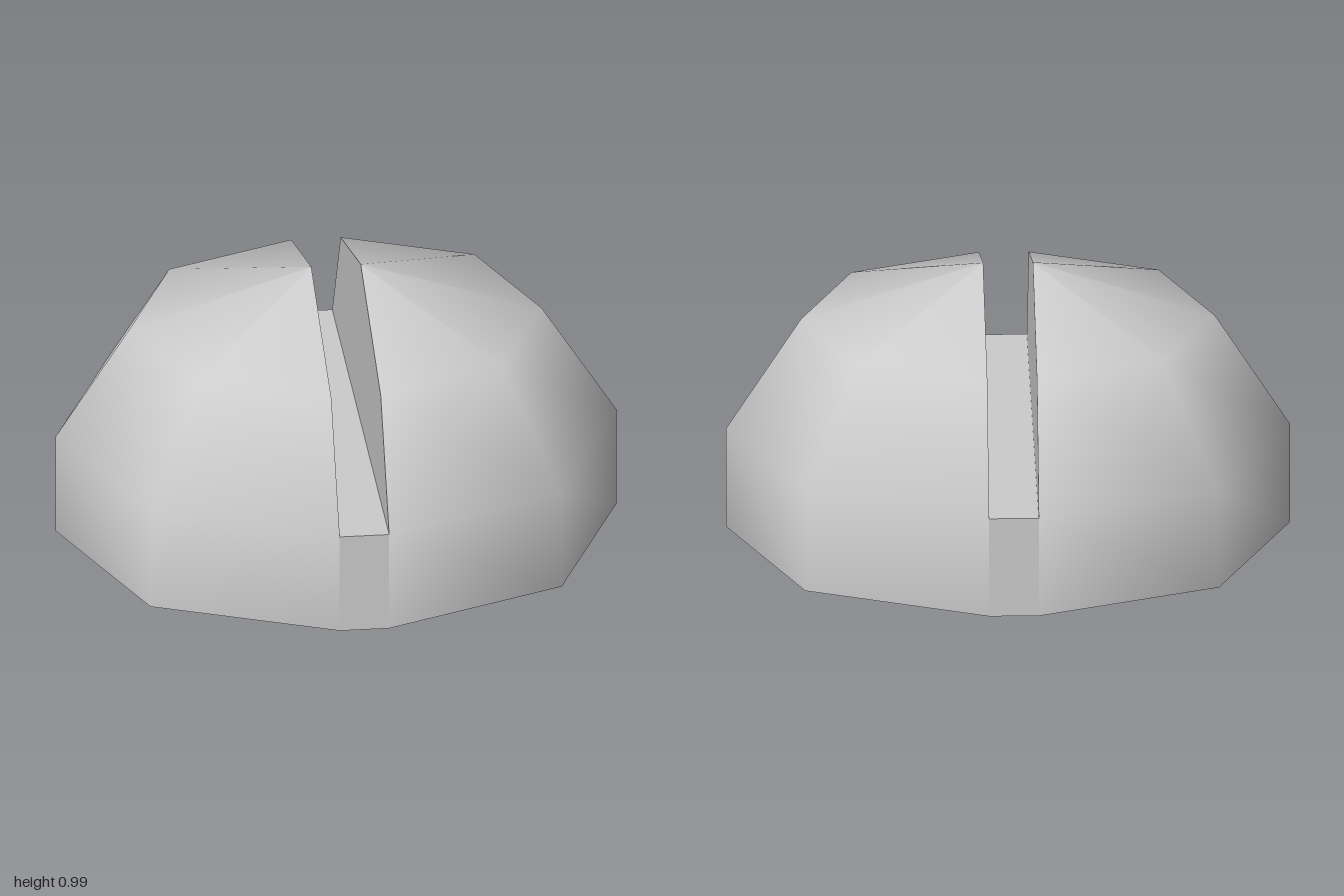
import * as THREE from 'three';

const R = 0.912;      // dome radius
const GAP = 0.088;    // half width of the slot
const FLOOR = 0.37;   // height of the slot floor
const PROFILE = [[R, 0], [R, FLOOR], [0.645, 0.785], [0, 0.992]];

export function createModel() {
  const group = new THREE.Group();
  const material = new THREE.MeshStandardMaterial({ color: 0xcccccc, side: THREE.DoubleSide });

  const add = (name, geometry, x = 0, y = 0, z = 0) => {
    const mesh = new THREE.Mesh(geometry, material);
    mesh.name = name;
    mesh.position.set(x, y, z);
    group.add(mesh);
    return mesh;
  };

  // Slot wall outline: the dome section above the floor
  const upper = PROFILE.slice(1).map(([r, y]) => new THREE.Vector2(r, y));
  const mirrored = upper.slice(0, -1).reverse().map((p) => new THREE.Vector2(-p.x, p.y));
  const wallShape = new THREE.Shape([...upper, ...mirrored]);
  const points = PROFILE.map(([r, y]) => new THREE.Vector2(r, y));

  for (const [side, s] of [['left', 1], ['right', -1]]) {
    // Half of an eight-sided, hollow dome, moved out from the slot
    const start = s > 0 ? 0 : Math.PI;
    add(side + 'HalfDome', new THREE.LatheGeometry(points, 4, start, Math.PI), s * GAP);
    // Flat wall closing the half dome along the slot
    add(side + 'SlotWall', new THREE.ShapeGeometry(wallShape).rotateY(-s * Math.PI / 2), s * GAP);
  }

  // Slot floor
  add('slotFloor', new THREE.PlaneGeometry(2 * GAP, 2 * R).rotateX(-Math.PI / 2), 0, FLOOR, 0);

  // Short plates joining the halves under each end of the slot
  for (const [end, s] of [['front', 1], ['back', -1]]) {
    const plate = new THREE.PlaneGeometry(2 * GAP, FLOOR);
    if (s < 0) plate.rotateY(Math.PI);
    add(end + 'JoiningPlate', plate, 0, FLOOR / 2, s * R);
  }

  return group;
}
